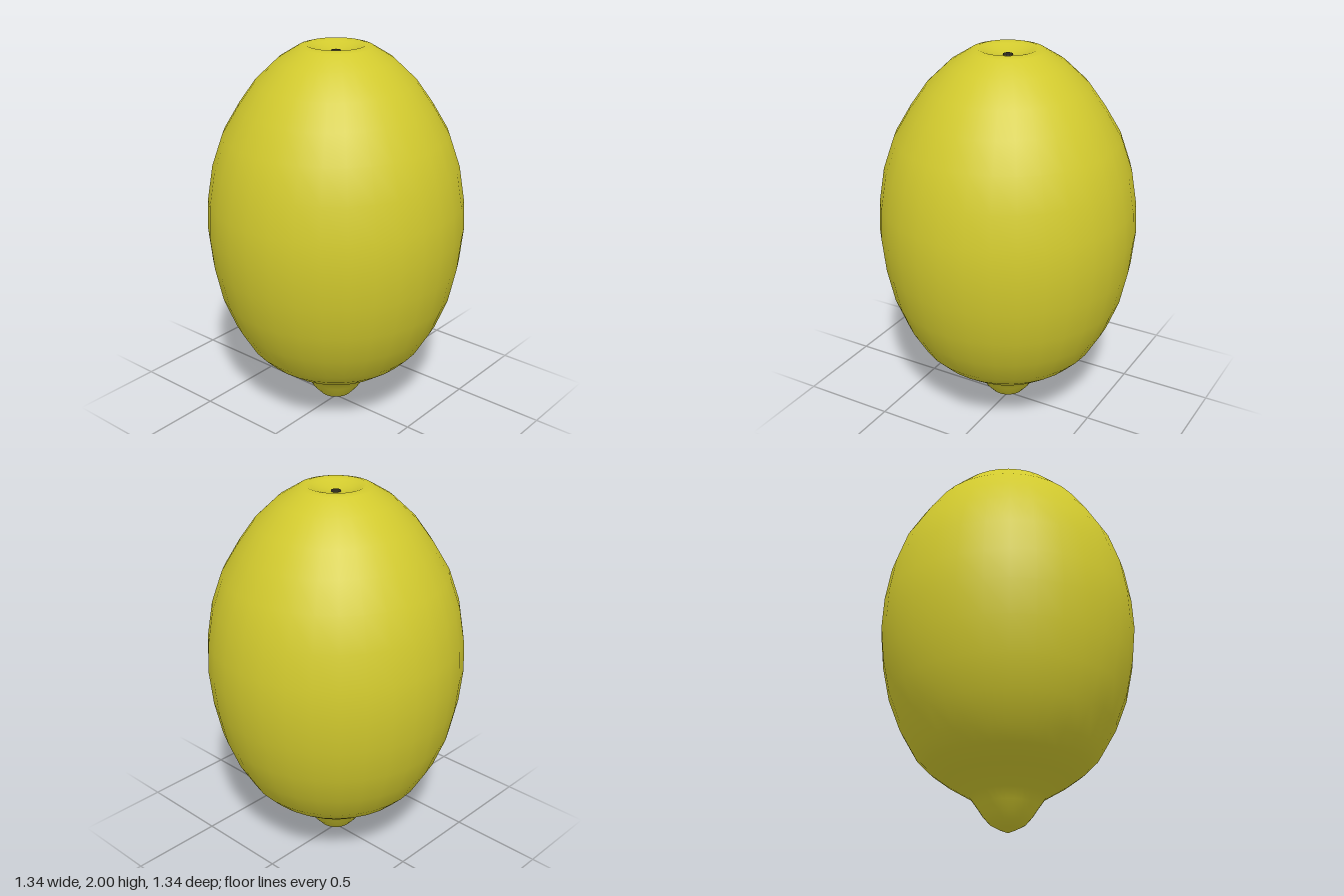
import * as THREE from 'three';

const SIDES = 32;

// Radius and height pairs turned round the vertical axis
function lathe(name, pairs, color) {
  const points = pairs.map(([r, y]) => new THREE.Vector2(r, y));
  const mesh = new THREE.Mesh(
    new THREE.LatheGeometry(points, SIDES),
    new THREE.MeshStandardMaterial({ color })
  );
  mesh.name = name;
  return mesh;
}

export function createModel() {
  const fruit = new THREE.Group();
  fruit.name = 'lemon';

  // Skin: pointed nub at the bottom, full belly, shallow dimple on top
  fruit.add(lathe('skin', [
    [0, 0], [0.045, 0.02], [0.09, 0.045], [0.125, 0.085], [0.155, 0.13], [0.19, 0.18],
    [0.315, 0.257], [0.405, 0.325], [0.47, 0.392], [0.55, 0.53], [0.612, 0.69],
    [0.65, 0.87], [0.668, 1.05], [0.66, 1.21], [0.63, 1.39], [0.573, 1.555],
    [0.49, 1.695], [0.405, 1.815], [0.29, 1.925], [0.185, 1.99], [0.15, 2],
    [0.12, 1.99], [0.08, 1.975], [0.025, 1.965], [0, 1.963],
  ], 0xd2ca2e));

  // Dark stem scar in the dimple
  fruit.add(lathe('stemScar', [[0.025, 1.965], [0.024, 1.97], [0, 1.97]], 0x2a271c));

  return fruit;
}
